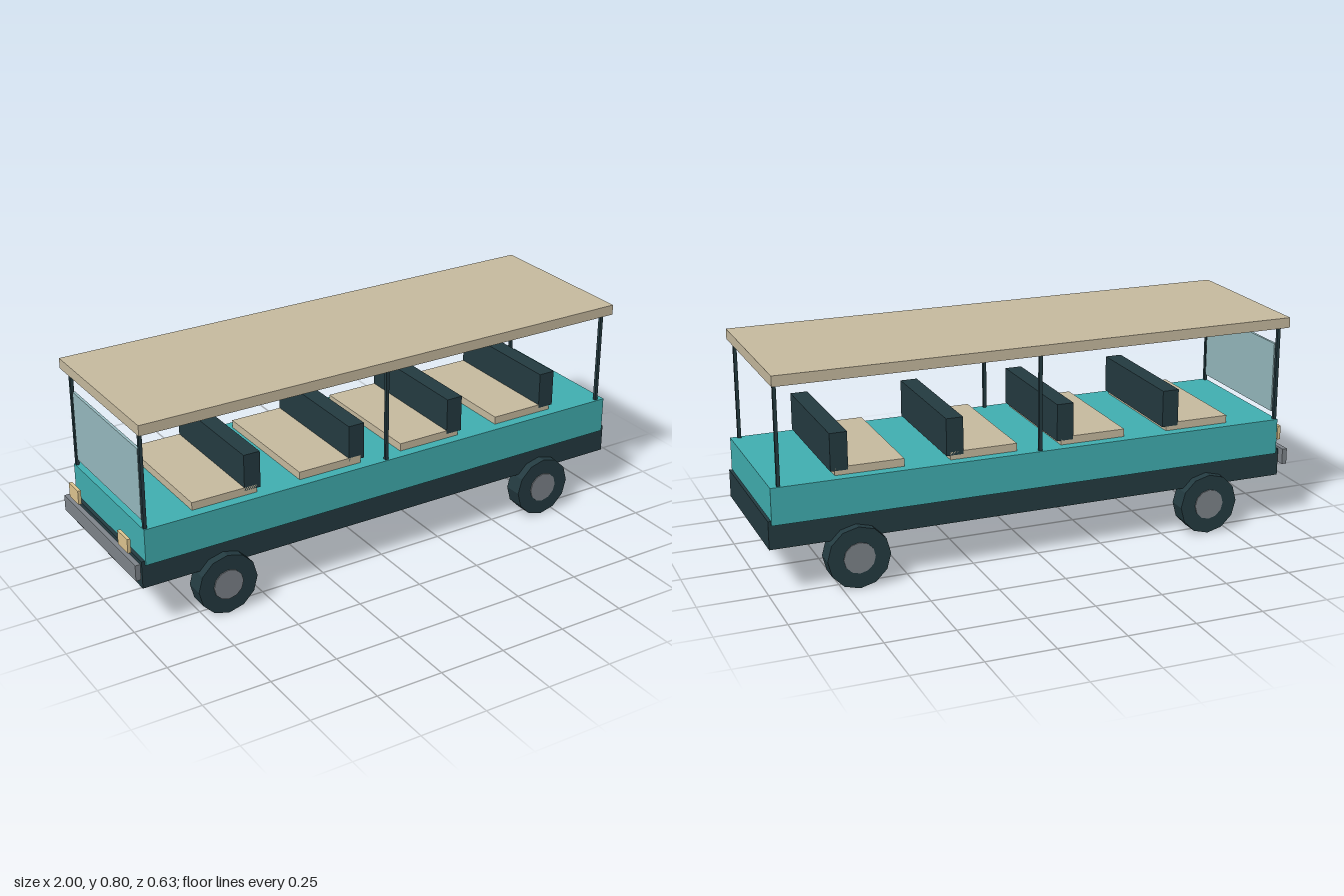
import * as THREE from 'three';

const material = (name, color) => {
  const m = new THREE.MeshStandardMaterial({ color });
  m.name = name;
  return m;
};

export function createModel() {
  const teal = material('teal paint', 0x41b0b2);
  const dark = material('dark trim', 0x243b41);
  const tan = material('tan canvas', 0xc8bca0);
  const grey = material('grey metal', 0x7f858b);
  const glass = material('pale glass', 0x97bbc0);
  const lamp = material('lamp cream', 0xe0c791);

  const model = new THREE.Group();
  model.name = 'openTram';

  // Box given by its lower and upper limits on each axis
  const box = (name, mat, [x0, x1], [y0, y1], [z0, z1]) => {
    const mesh = new THREE.Mesh(new THREE.BoxGeometry(x1 - x0, y1 - y0, z1 - z0), mat);
    mesh.position.set((x0 + x1) / 2, (y0 + y1) / 2, (z0 + z1) / 2);
    mesh.name = name;
    model.add(mesh);
  };

  // Twelve-sided disc with its axis along z
  const disc = (name, mat, radius, x, y, z, depth) => {
    const geometry = new THREE.CylinderGeometry(radius, radius, depth, 12).rotateX(Math.PI / 2);
    const mesh = new THREE.Mesh(geometry.toNonIndexed(), mat);
    mesh.geometry.computeVertexNormals();
    mesh.position.set(x, y, z);
    mesh.name = name;
    model.add(mesh);
  };

  // Chassis, body tub and roof
  box('chassis', dark, [-0.97, 0.997], [0.178, 0.281], [-0.277, 0.277]);
  box('body', teal, [-0.957, 0.986], [0.266, 0.401], [-0.283, 0.283]);
  box('roof', tan, [-0.97, 0.973], [0.762, 0.8], [-0.314, 0.314]);

  // Four benches facing the driving end (-x)
  for (let i = 0; i < 4; i++) {
    const x = -0.76 + i * 0.42;
    box('seatCushion', tan, [x, x + 0.25], [0.395, 0.43], [-0.245, 0.245]);
    box('seatBack', dark, [x + 0.202, x + 0.265], [0.417, 0.554], [-0.245, 0.245]);
  }

  // Windscreen and bumper
  box('windscreen', glass, [-0.953, -0.943], [0.427, 0.689], [-0.257, 0.257]);
  box('bumper', grey, [-1, -0.981], [0.223, 0.282], [-0.291, 0.291]);

  for (const side of [-1, 1]) {
    // Roof posts
    for (const x of [-0.949, 0.002, 0.955]) {
      const z = side * 0.271;
      box('roofPost', dark, [x - 0.006, x + 0.006], [0.395, 0.765], [z - 0.006, z + 0.006]);
    }
    // Headlamps
    const z = side * 0.2;
    box('headlamp', lamp, [-1, -0.988], [0.303, 0.356], [z - 0.038, z + 0.038]);
    // Wheels with hubs
    for (const x of [-0.664, 0.69]) {
      disc('wheel', dark, 0.114, x, 0.114, side * 0.274, 0.069);
      disc('wheelHub', grey, 0.057, x, 0.114, side * 0.276, 0.073);
    }
  }
  return model;
}
